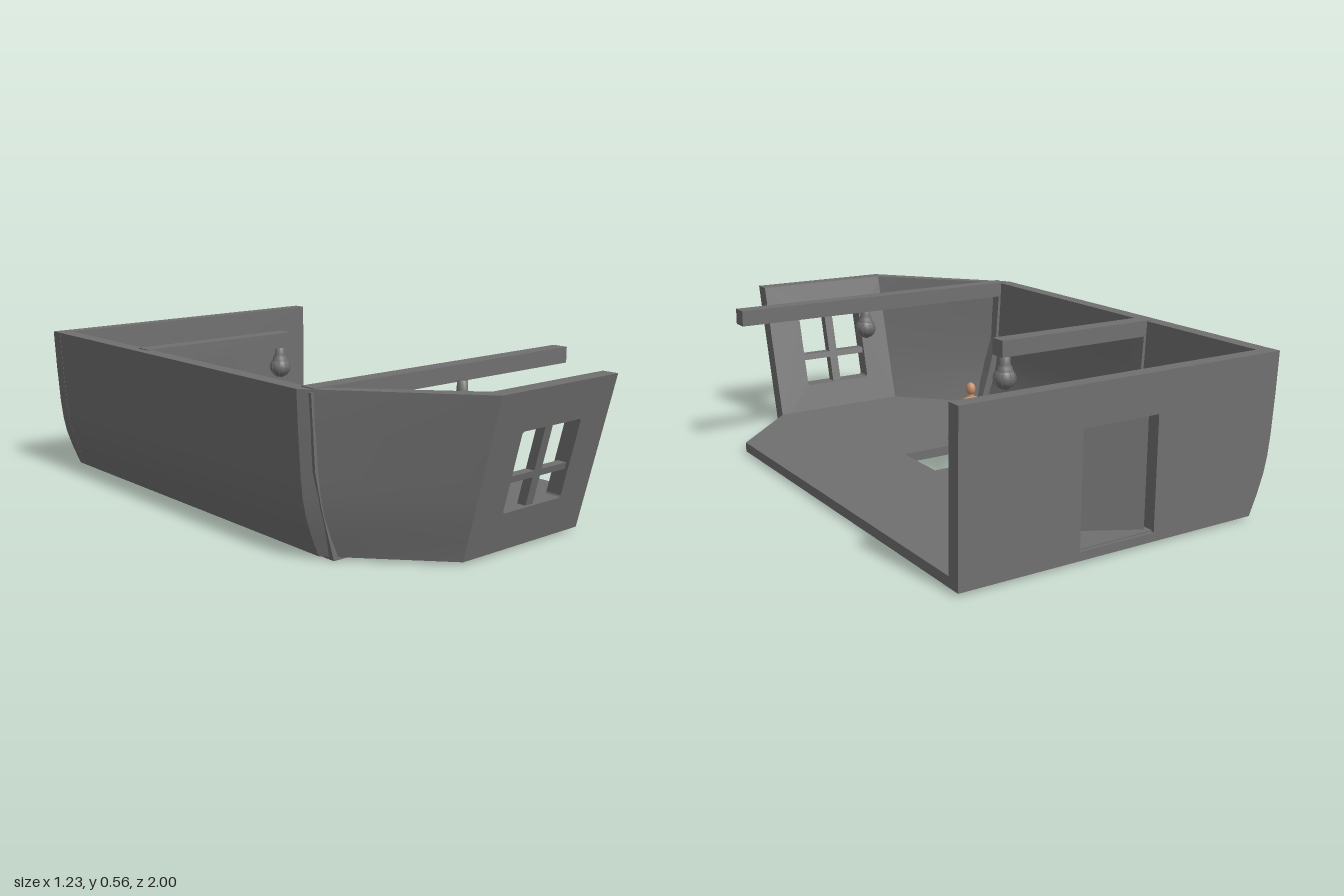
import * as THREE from 'three';
import { toCreasedNormals } from 'three/addons/utils/BufferGeometryUtils.js';

const darkGrey = new THREE.MeshStandardMaterial({ color: 0x707070 });
const skin = new THREE.MeshStandardMaterial({ color: 0xc8906c });
const H = 0.56, BASE = 0.01;
const V = (x, y, z) => new THREE.Vector3(x, y, z);

// Flare of the hull: 0 at the floor, 1 at the top edge
const flare = [[0.01, 0], [0.08, 0.33], [0.15, 0.6], [0.21, 0.74], [0.28, 0.83], [0.42, 0.93], [0.56, 1]];

function add(parent, name, geometry, material = darkGrey) {
  const mesh = new THREE.Mesh(geometry, material);
  mesh.name = name;
  parent.add(mesh);
  return mesh;
}

function box(parent, name, x0, x1, y0, y1, z0, z1) {
  const mesh = add(parent, name, new THREE.BoxGeometry(x1 - x0, y1 - y0, z1 - z0));
  mesh.position.set((x0 + x1) / 2, (y0 + y1) / 2, (z0 + z1) / 2);
}

const polygon = (pts, Type = THREE.Shape) => new Type(pts.map(p => new THREE.Vector2(...p)));
const rect = (x0, x1, y0, y1) => polygon([[x0, y0], [x1, y0], [x1, y1], [x0, y1]], THREE.Path);
const extrude = (shape, depth) => new THREE.ExtrudeGeometry(shape, { depth, bevelEnabled: false, curveSegments: 5 });

// Curved side wall and slanted corner wall, lofted through three stations
function hullGeometry() {
  // each station: bottom x, z and top x, z for the outer and inner skins
  const stations = [
    { out: [-0.525, -0.99, -0.614, -0.99], inn: [-0.475, -0.99, -0.56, -0.99] },
    { out: [-0.525, 0.525, -0.614, 0.53], inn: [-0.47, 0.5, -0.56, 0.54] },
    { out: [-0.22, 0.86, -0.22, 1.0], inn: [-0.205, 0.8, -0.2, 0.94] },
  ];
  const rings = stations.map((s, i) => {
    const skinOf = c => flare.map(([y, f]) => {
      const line = (y - BASE) / (H - BASE);
      const t = i === 2 ? line : f;       // the front corner is straight
      return V(c[0] + (c[2] - c[0]) * t, y, c[1] + (c[3] - c[1]) * t);
    });
    return [...skinOf(s.out), ...skinOf(s.inn).reverse()];
  });
  const n = rings[0].length, pos = [], index = [];
  rings.flat().forEach(p => pos.push(p.x, p.y, p.z));
  for (let s = 0; s < rings.length - 1; s++) {
    for (let k = 0; k < n; k++) {
      const a = s * n + k, b = s * n + (k + 1) % n;
      index.push(a, a + n, b + n, a, b + n, b);
    }
  }
  // end caps
  const last = (rings.length - 1) * n;
  for (let k = 0; k < n / 2 - 1; k++) {
    const m = n - 1 - k;
    index.push(k, k + 1, m - 1, k, m - 1, m);
    index.push(last + k, last + m - 1, last + k + 1, last + k, last + m, last + m - 1);
  }
  const g = new THREE.BufferGeometry();
  g.setAttribute('position', new THREE.Float32BufferAttribute(pos, 3));
  g.setIndex(index);
  return toCreasedNormals(g, 0.35);
}

// Leans a flat front piece outward with height
function lean(g, z0) {
  const p = g.attributes.position;
  for (let i = 0; i < p.count; i++) p.setZ(i, p.getZ(i) + z0 + (p.getY(i) - BASE) * 0.14 / (H - BASE));
  g.computeVertexNormals();
  return g;
}

function roundedHole(x0, x1, y0, y1, r) {
  const h = new THREE.Path();
  h.absarc(x1 - r, y1 - r, r, 0, Math.PI / 2);
  h.absarc(x0 + r, y1 - r, r, Math.PI / 2, Math.PI);
  h.absarc(x0 + r, y0 + r, r, Math.PI, Math.PI * 1.5);
  h.absarc(x1 - r, y0 + r, r, Math.PI * 1.5, Math.PI * 2);
  return h;
}

function lantern(parent, x, z) {
  const g = new THREE.Group();
  g.name = 'lantern';
  g.position.set(x, 0.425, z);
  add(g, 'globe', new THREE.SphereGeometry(0.039, 16, 10));
  const cap = [[0.03, 0.025], [0.026, 0.04], [0.02, 0.05], [0.018, 0.085], [0, 0.085]];
  add(g, 'lanternCap', new THREE.LatheGeometry(cap.map(p => new THREE.Vector2(...p)), 14));
  // cage wires around the globe
  for (let i = 0; i < 4; i++)
    add(g, 'cageWire', new THREE.TorusGeometry(0.04, 0.0015, 4, 24)).rotation.y = i * Math.PI / 4;
  parent.add(g);
}

function figure() {
  const g = new THREE.Group();
  g.name = 'figure';
  const limb = (name, a, b, r0, r1) => {
    const d = b.clone().sub(a);
    const m = add(g, name, new THREE.CylinderGeometry(r1, r0, d.length(), 10), skin);
    m.position.copy(a).addScaledVector(d, 0.5);
    m.quaternion.setFromUnitVectors(V(0, 1, 0), d.normalize());
  };
  const ball = (name, p, sx, sy, sz) => {
    const m = add(g, name, new THREE.SphereGeometry(1, 12, 8), skin);
    m.position.copy(p);
    m.scale.set(sx, sy, sz);
  };
  const torso = [[0, 0.145], [0.02, 0.15], [0.033, 0.165], [0.032, 0.185], [0.026, 0.21], [0.032, 0.24], [0.038, 0.258], [0.03, 0.27], [0.012, 0.277], [0, 0.279]];
  add(g, 'torso', new THREE.LatheGeometry(torso.map(p => new THREE.Vector2(...p)), 16), skin).scale.z = 0.7;
  limb('neck', V(0, 0.268, 0), V(0, 0.295, 0.003), 0.011, 0.009);
  ball('head', V(0, 0.303, 0.004), 0.016, 0.023, 0.019);
  for (const s of [-1, 1]) {
    ball('shoulder', V(s * 0.037, 0.258, 0), 0.012, 0.012, 0.012);
    limb('upperArm', V(s * 0.039, 0.258, 0), V(s * 0.062, 0.197, -0.003), 0.011, 0.008);
    ball('elbow', V(s * 0.062, 0.197, -0.003), 0.008, 0.008, 0.008);
    limb('forearm', V(s * 0.062, 0.197, -0.003), V(s * 0.08, 0.148, 0.01), 0.008, 0.005);
    ball('hand', V(s * 0.083, 0.135, 0.013), 0.005, 0.015, 0.008);
    limb('thigh', V(s * 0.018, 0.16, 0), V(s * 0.025, 0.085, 0.003), 0.018, 0.011);
    ball('knee', V(s * 0.025, 0.085, 0.003), 0.011, 0.012, 0.011);
    limb('shin', V(s * 0.025, 0.085, 0.003), V(s * 0.03, 0.008, -0.004), 0.011, 0.007);
    ball('foot', V(s * 0.032, 0.006, 0.005), 0.01, 0.007, 0.02);
  }
  g.position.set(0.057, 0.045, -0.21);
  return g;
}

export function createModel() {
  const root = new THREE.Group();
  root.name = 'cabin';

  // floor with hatch opening
  const floor = polygon([[-0.52, -0.99], [0.612, -0.99], [0.612, 0.53], [0.33, 0.81], [0.33, 0.86], [-0.22, 0.86], [-0.52, 0.525]]);
  floor.holes.push(rect(-0.045, 0.165, -0.14, 0.08));
  add(root, 'floor', extrude(floor, 0.035).rotateX(Math.PI / 2).translate(0, 0.045, 0));

  // hatch lid, folded back and tilted up
  const lid = new THREE.Group();
  lid.name = 'hatchLid';
  lid.position.set(-0.045, 0.048, 0);
  lid.rotation.z = -0.42;
  box(lid, 'hatchBoard', -0.225, 0, -0.018, 0, -0.14, 0.08);
  root.add(lid);

  // walls
  add(root, 'sideWall', hullGeometry());
  const back = polygon([...flare.map(([y, f]) => [-0.525 - 0.09 * f, y]), [0.612, H], [0.612, BASE]]);
  back.holes.push(rect(-0.11, 0.18, 0.04, 0.425));
  add(root, 'backWall', extrude(back, 0.05).translate(0, 0, -1));
  const front = polygon([[-0.22, BASE], [0.333, BASE], [0.333, H], [-0.22, H]]);
  front.holes.push(roundedHole(-0.083, 0.198, 0.147, 0.424, 0.01));
  add(root, 'frontWall', lean(extrude(front, 0.06), 0.8));

  // window bars
  const bar = (x0, x1, y0, y1) => lean(new THREE.BoxGeometry(x1 - x0, y1 - y0, 0.035)
    .translate((x0 + x1) / 2, (y0 + y1) / 2, 0.03), 0.8);
  add(root, 'windowPost', bar(0.04, 0.075, 0.14, 0.43));
  add(root, 'windowRail', bar(-0.09, 0.205, 0.247, 0.27));

  // door, ajar into the room
  const door = new THREE.Group();
  door.name = 'door';
  door.position.set(-0.1, 0, -0.96);
  door.rotation.y = -0.5;
  box(door, 'doorPanel', 0, 0.275, 0.045, 0.42, -0.015, 0.02);
  root.add(door);

  // ceiling beams with ribs running down the side wall
  const rib = polygon([[-0.59, 0.55], [-0.575, 0.3], [-0.55, 0.18], [-0.5, 0], [-0.445, 0], [-0.5, 0.18], [-0.535, 0.32], [-0.55, 0.55]]);
  for (const [z, end] of [[-0.39, 0.07], [0.54, 0.61]]) {
    box(root, 'beam', -0.58, end, 0.505, 0.563, z - 0.03, z + 0.03);
    add(root, 'rib', extrude(rib, 0.06).translate(0, 0, z - 0.03));
  }
  lantern(root, 0.04, -0.39);
  lantern(root, 0.055, 0.58);

  // small items on the side wall: z, y, length, height, tilt, depth
  const items = [
    [-0.568, 0.326, 0.016, 0.065, 0.6, 0.07], [-0.592, 0.322, 0.016, 0.06, 0.6, 0.06],
    [-0.655, 0.306, 0.04, 0.013, 0, 0.07], [-0.69, 0.31, 0.014, 0.03, 0.3, 0.05], [-0.71, 0.3, 0.045, 0.014, 0, 0.06],
    [-0.745, 0.318, 0.016, 0.058, 0, 0.075], [-0.557, 0.237, 0.024, 0.044, 0, 0.065],
    [-0.622, 0.244, 0.04, 0.009, 0, 0.06], [-0.622, 0.227, 0.04, 0.009, 0, 0.07],
    [-0.67, 0.237, 0.01, 0.046, -0.5, 0.05], [-0.695, 0.237, 0.01, 0.046, -0.5, 0.055],
    [-0.727, 0.237, 0.013, 0.044, 0, 0.05], [-0.748, 0.237, 0.013, 0.044, 0, 0.055],
  ];
  const wallItems = new THREE.Group();
  wallItems.name = 'wallItems';
  items.forEach(([z, y, l, h, tilt, depth], i) => {
    const m = add(wallItems, 'wallItem', new THREE.BoxGeometry(depth, h, l));
    m.position.set(-0.432 + 0.006 * (i % 3 - 1), y, z);
    m.rotation.x = tilt;
  });
  root.add(wallItems);

  root.add(figure());
  return root;
}
